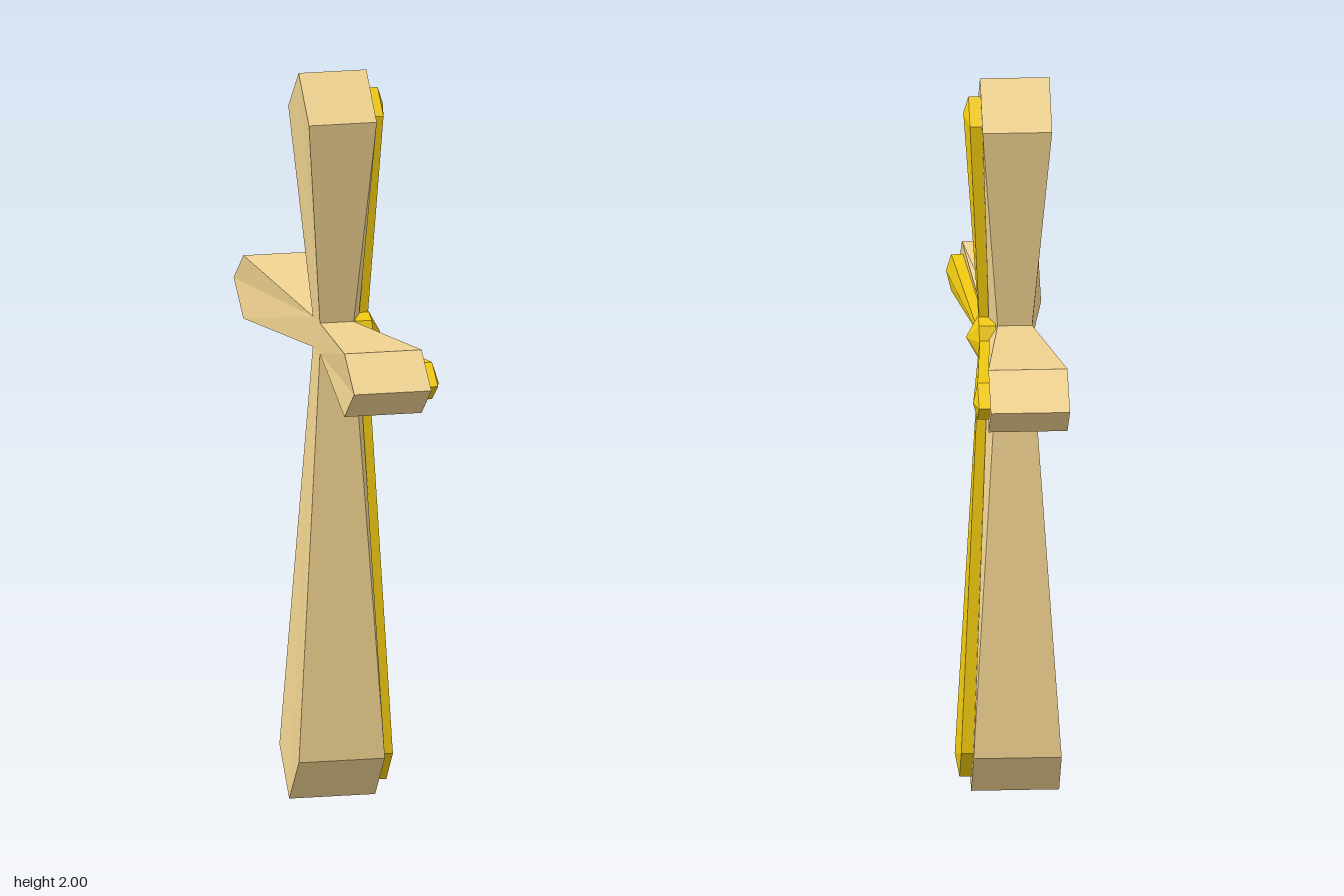
import * as THREE from 'three';

const wood = new THREE.MeshStandardMaterial({ color: 0xf0d390, flatShading: true });
const gold = new THREE.MeshStandardMaterial({ color: 0xf0c910, flatShading: true });

// Faceted mesh from convex faces (lists of [x, y, z] corners, counter-clockwise)
function facets(name, faces, material) {
  const pos = [];
  for (const f of faces)
    for (let i = 1; i < f.length - 1; i++) pos.push(...f[0], ...f[i], ...f[i + 1]);
  const g = new THREE.BufferGeometry();
  g.setAttribute('position', new THREE.Float32BufferAttribute(pos, 3));
  g.computeVertexNormals();
  const mesh = new THREE.Mesh(g, material);
  mesh.name = name;
  return mesh;
}

const wall = (back, front, i, j) => [back[i], back[j], front[j], front[i]];

// Flared wooden arm along +y: mitred at the centre, pointed at the tip
function woodArm({ s, t, w, back, front }) {
  const k = 0.042;
  const ring = (xc, xk, xs) => [[xc, 0, 0], [xk, k, -k], [xs, s, -w], [xs, t, 0], [xs, s, w], [xk, k, k]];
  const b = ring(-0.068, -0.068, back), f = ring(0.045, 0.025, front);
  const faces = [1, 2, 3, 4].map(i => wall(b, f, i, i + 1));
  faces.push(f, [...b].reverse());
  return facets('woodArm', faces, wood);
}

// Raised gold blade on the arm, with a ridge rising to a peak near the tip
function goldInlay({ gs, gt, gw, front, rim, peak }) {
  const ring = (xi, xo) => [[xi, 0, 0], [xo, gs, -gw], [xo, gt, 0], [xo, gs, gw]];
  const b = ring(0.02, front - 0.01), f = ring(0.07, rim);
  const p = [peak, gs + 0.02, 0];
  const faces = [[...b].reverse()];
  for (let i = 0; i < 4; i++) {
    const j = (i + 1) % 4;
    faces.push(wall(b, f, i, j), [f[i], f[j], p]);
  }
  return facets('goldInlay', faces, gold);
}

export function createModel() {
  const model = new THREE.Group();
  model.name = 'cross';
  const side = {
    s: 0.595, t: 0.71, w: 0.087, back: -0.13, front: 0.083,
    gs: 0.593, gt: 0.665, gw: 0.051, rim: 0.112, peak: 0.125,
  };
  const arms = [
    { name: 'topArm', turn: 0, s: 0.607, t: 0.725, w: 0.122, back: -0.117, front: 0.07,
      gs: 0.61, gt: 0.675, gw: 0.069, rim: 0.101, peak: 0.115 },
    { name: 'bottomArm', turn: Math.PI, s: 1.15, t: 1.275, w: 0.115, back: -0.143, front: 0.094,
      gs: 1.147, gt: 1.235, gw: 0.077, rim: 0.125, peak: 0.138 },
    { name: 'frontArm', turn: Math.PI / 2, ...side },
    { name: 'backArm', turn: -Math.PI / 2, ...side },
  ];
  for (const a of arms) {
    const arm = new THREE.Group();
    arm.name = a.name;
    arm.add(woodArm(a), goldInlay(a));
    arm.rotation.x = a.turn;
    arm.position.y = 1.275;
    model.add(arm);
  }

  // Faceted gold stud where the arms meet
  const profile = [[0, 0], [0.06, 0], [0.06, 0.045], [0, 0.078]].map(p => new THREE.Vector2(...p));
  const stud = new THREE.Mesh(new THREE.LatheGeometry(profile, 8), gold);
  stud.name = 'centreStud';
  stud.rotation.z = -Math.PI / 2;
  stud.position.set(0.03, 1.275, 0);
  model.add(stud);
  return model;
}
